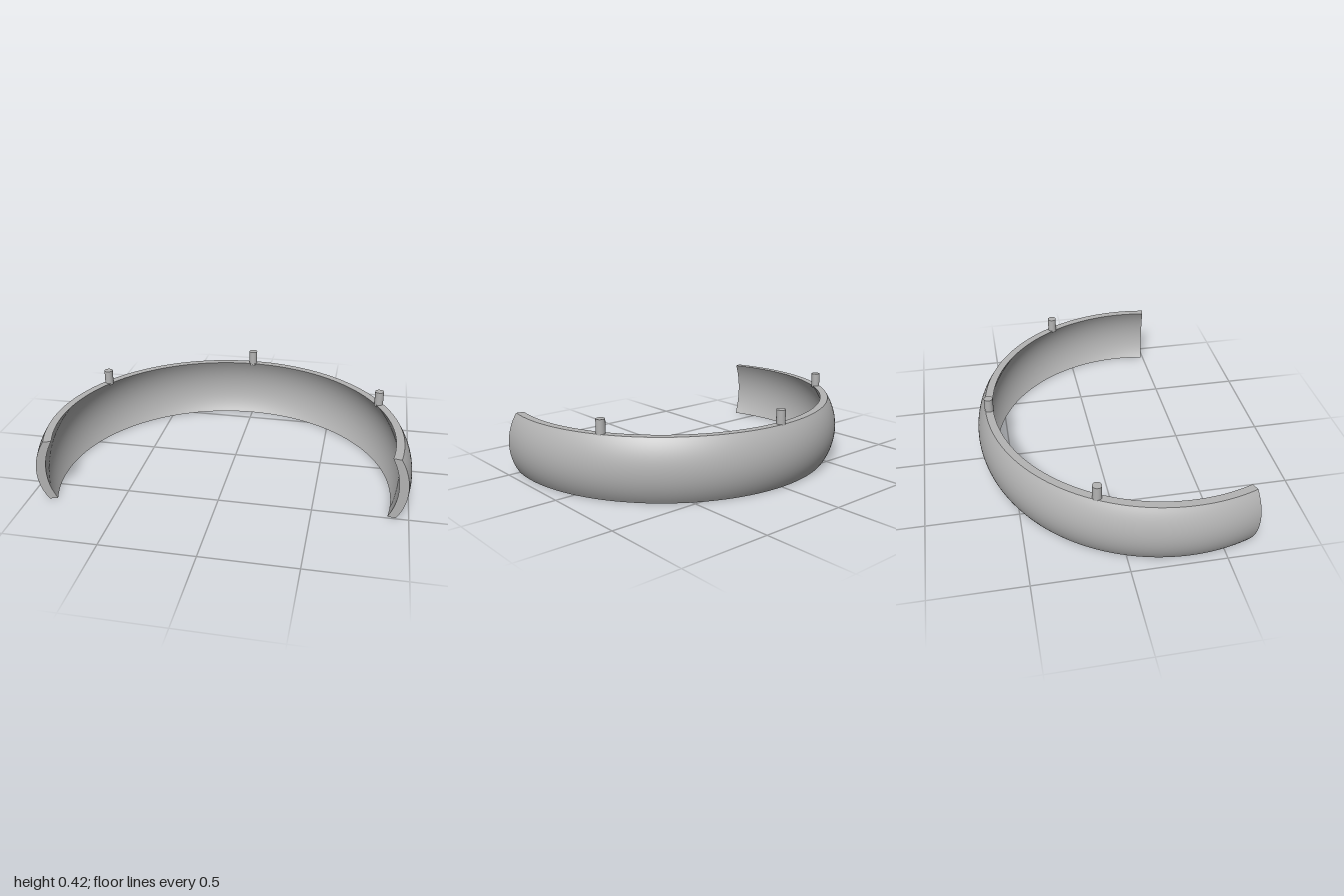
import * as THREE from 'three';
import { mergeGeometries } from 'three/addons/utils/BufferGeometryUtils.js';

const HEIGHT = 0.345;
const CENTER_Z = 0.329;
const START = THREE.MathUtils.degToRad(80);
const SWEEP = THREE.MathUtils.degToRad(210);

// Bowed wall profile, bottom to top: edge radius plus a circular bulge
function wallProfile(edge, bulge, steps = 20) {
  const half = HEIGHT / 2;
  const R = (half * half + bulge * bulge) / (2 * bulge);
  return Array.from({ length: steps + 1 }, (_, i) => {
    const y = (i / steps) * HEIGHT;
    const d = y - half;
    return new THREE.Vector2(edge + bulge - R + Math.sqrt(R * R - d * d), y);
  });
}

function bandGeometry() {
  const outer = wallProfile(0.948, 0.052);
  const inner = wallProfile(0.905, 0.045).reverse();
  const last = outer.length - 1;

  // Outer wall, top rim, inner wall and bottom rim, kept apart for sharp edges
  const strips = [outer, [outer[last], inner[0]], inner, [inner[last], outer[0]]];
  const parts = strips.map((p) => new THREE.LatheGeometry(p, 120, START, SWEEP));

  // Flat end faces; the second is mirrored so that it faces the other way
  const section = [...outer, ...inner];
  const startCap = new THREE.ShapeGeometry(new THREE.Shape(section));
  startCap.rotateY(START - Math.PI / 2);
  const mirrored = section.map((p) => new THREE.Vector2(-p.x, p.y));
  const endCap = new THREE.ShapeGeometry(new THREE.Shape(mirrored));
  endCap.rotateY(START + SWEEP + Math.PI / 2);

  return mergeGeometries([...parts, startCap, endCap]);
}

export function createModel() {
  const model = new THREE.Group();
  model.name = 'openRing';
  const grey = new THREE.MeshStandardMaterial({ color: 0xb4b4b4 });
  grey.name = 'grey';

  // Curved open band
  const band = new THREE.Mesh(bandGeometry(), grey);
  band.name = 'band';
  band.position.z = CENTER_Z;
  model.add(band);

  // Three pegs standing on the top rim
  const bottom = HEIGHT - 0.01;
  const top = 0.421;
  const pegGeometry = new THREE.CylinderGeometry(0.0245, 0.0245, top - bottom, 32);
  ['left', 'back', 'right'].forEach((side, i) => {
    const angle = THREE.MathUtils.degToRad(120 + 60 * i);
    const peg = new THREE.Mesh(pegGeometry, grey);
    peg.name = side + 'Peg';
    peg.position.set(0.927 * Math.sin(angle), (top + bottom) / 2, CENTER_Z + 0.927 * Math.cos(angle));
    model.add(peg);
  });

  return model;
}
